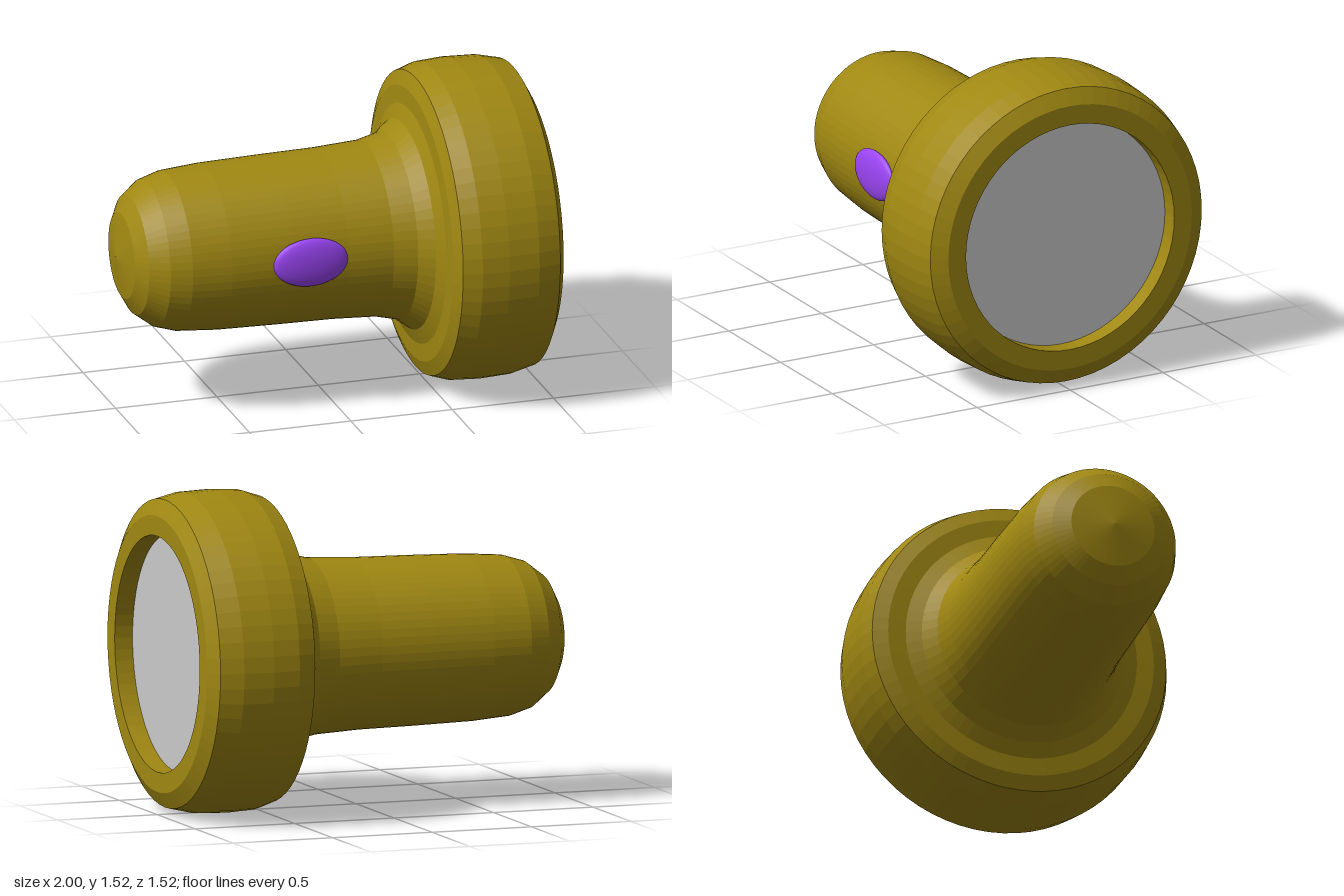
import * as THREE from 'three';

const AXIS_Y = 0.762; // height of the torch axis

// Lathe around the x axis from [x, radius] pairs
function turned(name, profile, material, segments = 64) {
  const points = profile.map(([x, r]) => new THREE.Vector2(r, x));
  const geometry = new THREE.LatheGeometry(points, segments);
  geometry.rotateZ(-Math.PI / 2);
  const mesh = new THREE.Mesh(geometry, material);
  mesh.name = name;
  mesh.position.y = AXIS_Y;
  return mesh;
}

export function createModel() {
  const group = new THREE.Group();
  group.name = 'flashlight';

  const casing = new THREE.MeshStandardMaterial({ color: 0xa08812, flatShading: true });
  const purple = new THREE.MeshStandardMaterial({ color: 0x9b45f5 });
  const grey = new THREE.MeshStandardMaterial({ color: 0xcccccc });

  // Handle with rounded tail, flaring into the head
  group.add(turned('handle', [
    [-1, 0], [-0.97, 0.205], [-0.925, 0.285], [-0.84, 0.35], [-0.74, 0.38],
    [-0.55, 0.395], [-0.25, 0.402], [0.02, 0.406], [0.24, 0.418],
    [0.35, 0.445], [0.42, 0.5], [0.45, 0.57], [0.455, 0.655],
  ], casing));

  // Head with rounded rim and recessed opening
  group.add(turned('head', [
    [0.455, 0.655], [0.482, 0.725], [0.57, 0.754], [0.7, 0.762],
    [0.85, 0.756], [0.96, 0.73], [1, 0.655], [1, 0.56], [0.91, 0.56],
  ], casing));

  // Flat lens inside the rim
  const lens = new THREE.Mesh(new THREE.CircleGeometry(0.56, 64), grey);
  lens.name = 'lens';
  lens.rotation.y = Math.PI / 2;
  lens.position.set(0.91, AXIS_Y, 0);
  group.add(lens);

  // Oval push button on the front of the handle
  const button = new THREE.Mesh(new THREE.SphereGeometry(1, 32, 20), purple);
  button.name = 'button';
  button.scale.set(0.183, 0.119, 0.037);
  button.position.set(-0.165, 0.78, 0.4);
  group.add(button);

  return group;
}
